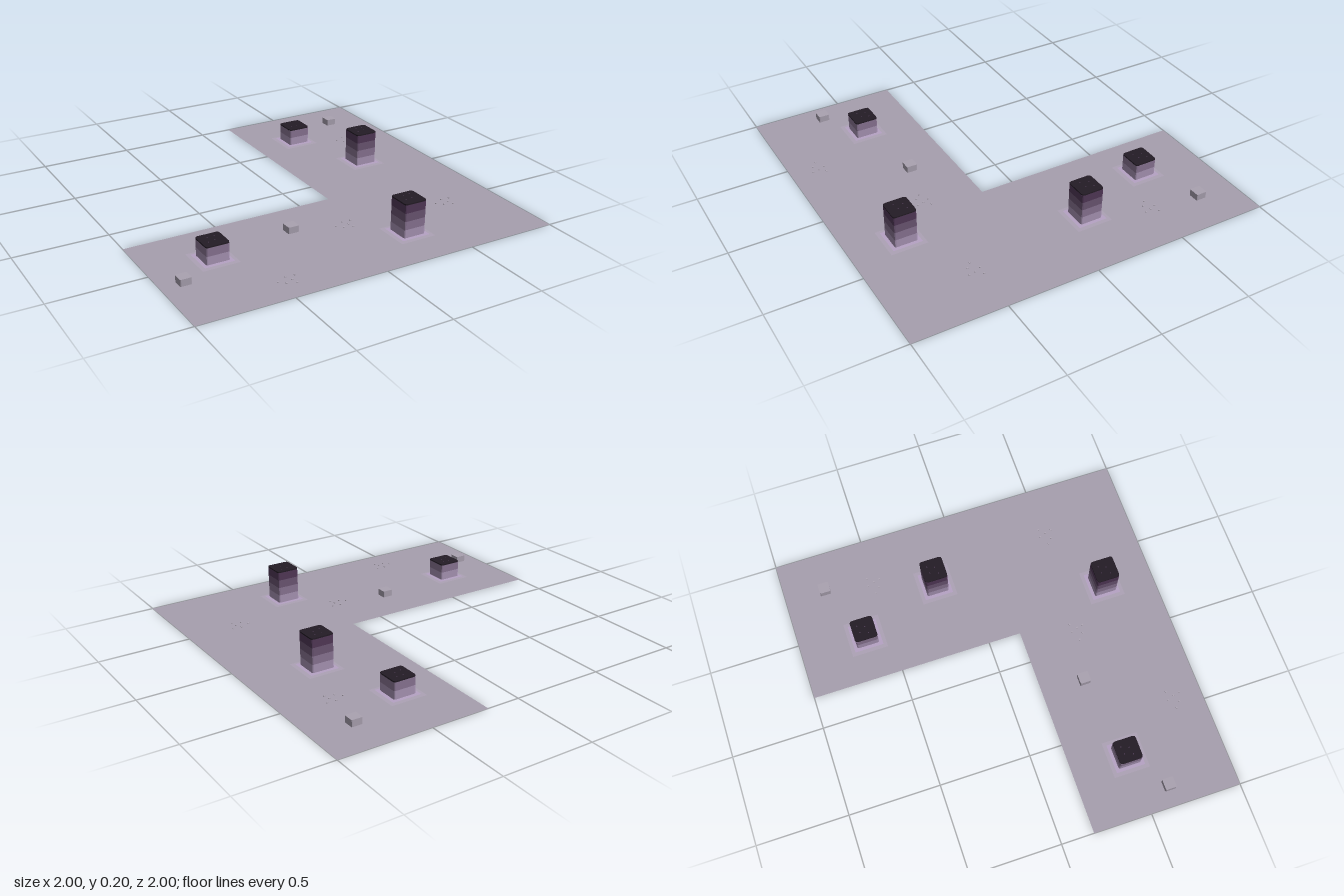
import * as THREE from 'three';

const mat = (color) => new THREE.MeshStandardMaterial({ color });
const thin = (color) => new THREE.MeshStandardMaterial({ color, side: THREE.DoubleSide });

// Square outline with small rounded corners
function roundedSquare(size, r) {
  const h = size / 2, s = new THREE.Shape();
  s.moveTo(-h + r, -h);
  s.lineTo(h - r, -h).quadraticCurveTo(h, -h, h, -h + r);
  s.lineTo(h, h - r).quadraticCurveTo(h, h, h - r, h);
  s.lineTo(-h + r, h).quadraticCurveTo(-h, h, -h, h - r);
  s.lineTo(-h, -h + r).quadraticCurveTo(-h, -h, -h + r, -h);
  return s;
}

// Upright slab standing on y = 0 with rounded vertical edges
function slab(size, height, r) {
  return new THREE.ExtrudeGeometry(roundedSquare(size, r), {
    depth: height, bevelEnabled: false, curveSegments: 2,
  }).rotateX(-Math.PI / 2);
}

function add(parent, name, geometry, material, x = 0, y = 0, z = 0) {
  const mesh = new THREE.Mesh(geometry, material);
  mesh.name = name;
  mesh.position.set(x, y, z);
  parent.add(mesh);
  return mesh;
}

export function createModel() {
  const model = new THREE.Group();
  model.name = 'groundWithPillars';

  // L-shaped ground sheet
  const outline = new THREE.Shape(
    [[-1, -1], [1, -1], [1, 1], [0.18, 1], [0.18, -0.18], [-1, -0.18]]
      .map(([x, y]) => new THREE.Vector2(x, y)));
  add(model, 'ground', new THREE.ShapeGeometry(outline).rotateX(-Math.PI / 2), thin(0xa79fae));

  // Pillars made of stacked bands that darken upwards, with a dark cap
  const bandMats = [0xa995b6, 0x8a7594, 0x6c5674, 0x523858].map(mat);
  const capMat = mat(0x241c26), spotMat = mat(0x4a3850);
  const glowMats = [thin(0xada2b6), thin(0xb6a2c4)];
  const base = 0.008, band = 0.045, cap = 0.007;
  const bandGeo = slab(0.125, band, 0.008);
  const capGeo = slab(0.127, cap, 0.014);
  const spotGeo = new THREE.PlaneGeometry(0.006, 0.006).rotateX(-Math.PI / 2);
  const spots = [[-0.03, 0.02], [0.025, -0.03], [0.01, 0.01], [-0.015, -0.025]];
  const pillars = [[0.315, 0.715, 4], [0.615, -0.175, 4], [-0.66, 0.485, 2], [0.44, -0.635, 2]];
  for (const [x, z, count] of pillars) {
    const pillar = new THREE.Group();
    pillar.name = 'pillar';
    pillar.position.set(x, 0, z);
    // Flat halo on the ground around the foot
    [0.2, 0.16].forEach((size, i) => add(pillar, 'footHalo',
      new THREE.PlaneGeometry(size, size).rotateX(-Math.PI / 2), glowMats[i], 0, 0.003 * (i + 1), 0));
    for (let i = 0; i < count; i++) add(pillar, 'band', bandGeo, bandMats[i], 0, base + i * band, 0);
    const top = base + count * band;
    add(pillar, 'cap', capGeo, capMat, 0, top, 0);
    for (const [sx, sz] of spots) add(pillar, 'capSpot', spotGeo, spotMat, sx, top + cap + 0.001, sz);
    model.add(pillar);
  }

  // Small low stones
  const stoneGeo = slab(0.06, 0.036, 0.005), stoneMat = mat(0xaaa2b1);
  for (const [x, z] of [[-0.885, 0.64], [-0.19, 0.42], [0.775, -0.775]]) {
    add(model, 'stone', stoneGeo, stoneMat, x, 0.006, z);
  }

  // Scattered clusters of tiny pebbles
  const pebbleGeo = new THREE.BoxGeometry(0.008, 0.004, 0.008), pebbleMat = mat(0xb0a8b6);
  for (const [x, z] of [[-0.45, 0.85], [0.72, -0.5], [0.7, 0.52], [0.09, 0.49]]) {
    for (let i = 0; i < 6; i++) {
      const a = i * 2.4, r = 0.02 + i * 0.008;
      add(model, 'pebble', pebbleGeo, pebbleMat, x + r * Math.cos(a), 0.002, z + r * Math.sin(a));
    }
  }
  return model;
}
